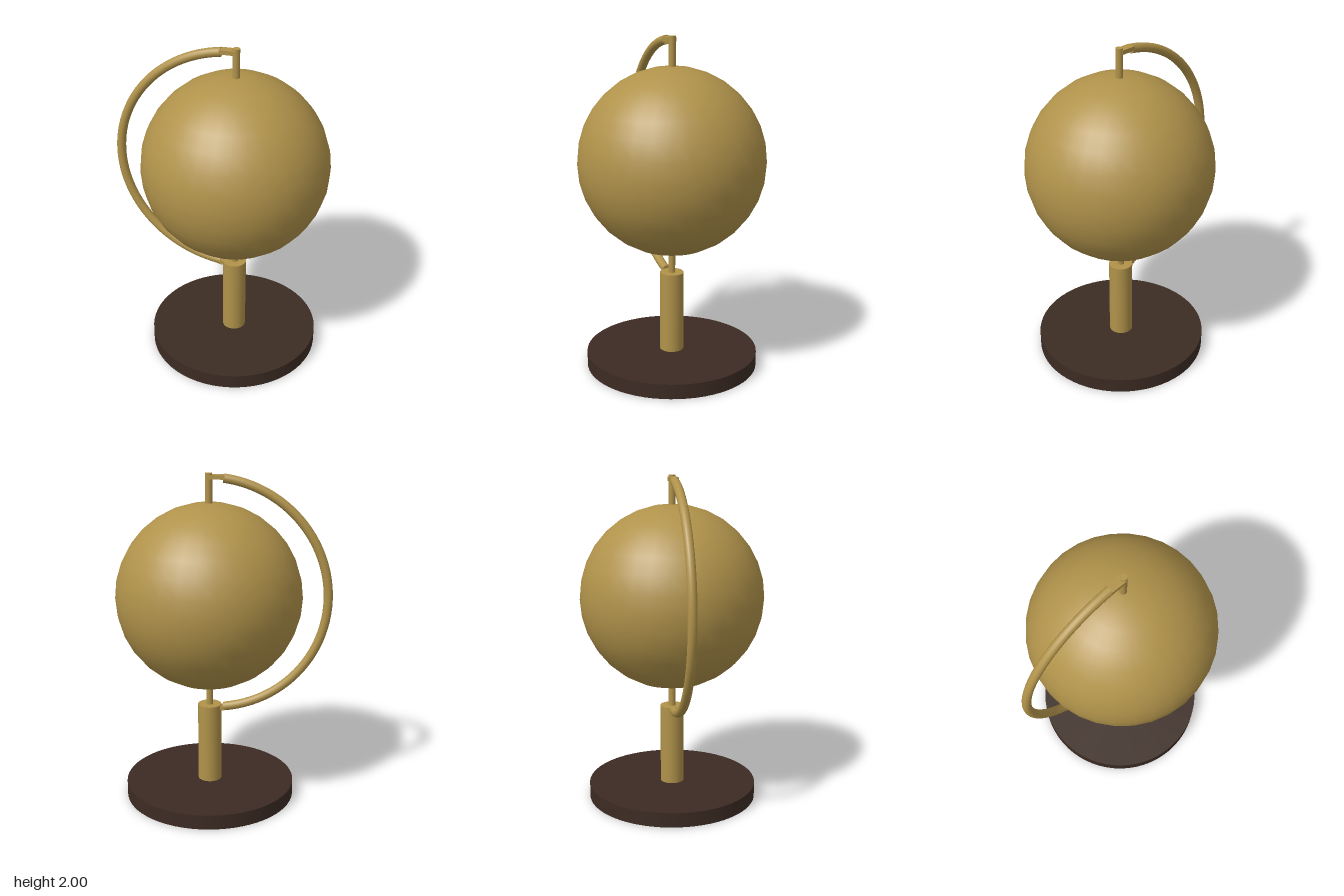
import * as THREE from 'three';

const AXIS_X = 0.085;   // the globe, stem and base share this axis
const GLOBE_Y = 1.272;
const ARM_RADIUS = 0.705;
const TUBE = 0.027;

export function createModel() {
  const group = new THREE.Group();
  const brass = new THREE.MeshStandardMaterial({ color: 0xb0924a });
  brass.name = 'brass';
  const darkWood = new THREE.MeshStandardMaterial({ color: 0x3c2b23 });
  darkWood.name = 'darkWood';

  const add = (name, geometry, material, x, y) => {
    const mesh = new THREE.Mesh(geometry, material);
    mesh.name = name;
    mesh.position.set(x, y, 0);
    group.add(mesh);
    return mesh;
  };
  const rod = (name, radius, y0, y1, sides, material) =>
    add(name, new THREE.CylinderGeometry(radius, radius, y1 - y0, sides), material, AXIS_X, (y0 + y1) / 2);

  // Foot, column and the axle running through the globe
  rod('base', 0.52, 0, 0.09, 64, darkWood);
  rod('column', 0.072, 0.09, 0.585, 32, brass);
  rod('axle', 0.021, 0.585, 2, 16, brass);

  // Globe
  add('globe', new THREE.SphereGeometry(0.557, 32, 16), brass, AXIS_X, GLOBE_Y);

  // Curved arm on the right, stopping just short of the axle at both ends
  const gap = 0.125;
  const arc = Math.PI - 2 * gap;
  const armGeometry = new THREE.TorusGeometry(ARM_RADIUS, TUBE, 16, 48, arc);
  armGeometry.rotateZ(Math.PI / 2 + gap);
  add('arm', armGeometry, brass, AXIS_X, GLOBE_Y);

  for (const side of [1, -1]) {
    const label = side > 0 ? 'upper' : 'lower';
    const angle = side * (Math.PI / 2 + gap);
    const x = AXIS_X + Math.cos(angle) * ARM_RADIUS;
    const y = GLOBE_Y + Math.sin(angle) * ARM_RADIUS;

    // Disc closing the end of the arm
    const cap = add(label + 'ArmCap', new THREE.CircleGeometry(TUBE, 16), brass, x, y);
    cap.rotation.set(0, Math.PI / 2, 0);
    cap.rotation.order = 'ZYX';
    cap.rotation.z = side * gap;

    // Flat bracket joining the arm to the axle or column
    add(label + 'Bracket', new THREE.BoxGeometry(0.095, 0.025, 0.052), brass,
      AXIS_X - 0.0475, GLOBE_Y + side * 0.706);
  }

  return group;
}
